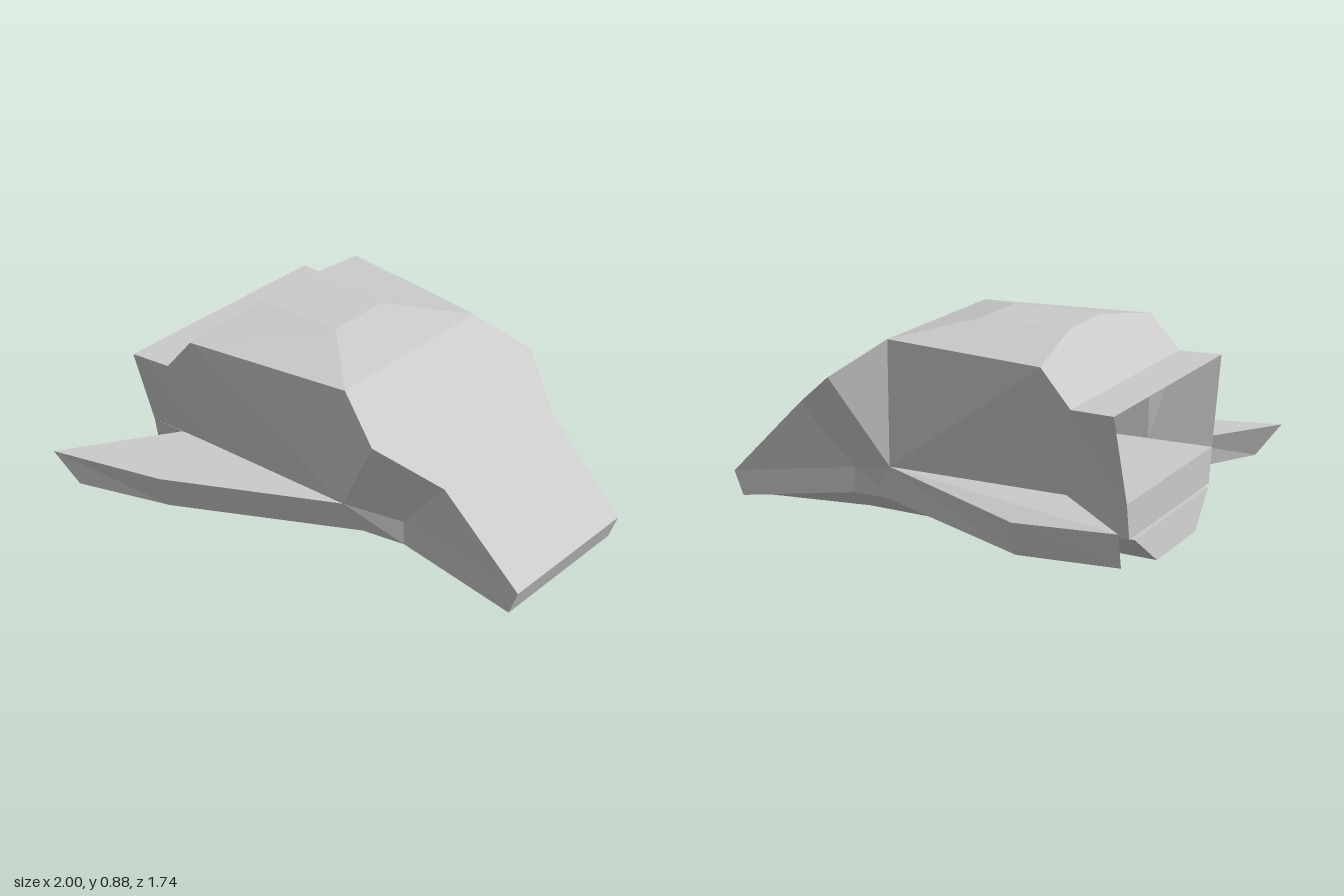
import * as THREE from 'three';

const hullGrey = new THREE.MeshStandardMaterial({ color: 0xcacaca, side: THREE.DoubleSide, flatShading: true });
hullGrey.name = 'hullGrey';

// Flat-shaded mesh from convex polygons, corners counter-clockwise from outside
function panels(name, polygons) {
  const pos = [];
  const add = ([x, y, z]) => pos.push(x, y, z);
  for (const p of polygons)
    for (let i = 1; i < p.length - 1; i++) [p[0], p[i], p[i + 1]].forEach(add);
  const g = new THREE.BufferGeometry();
  g.setAttribute('position', new THREE.Float32BufferAttribute(pos, 3));
  g.computeVertexNormals();
  const mesh = new THREE.Mesh(g, hullGrey);
  mesh.name = name;
  return mesh;
}

// Hull corners are [x, y, near z, far z]: the hull is slightly lopsided
const mirror = ([x, y, near, far]) => [x, y, far, near];

// Near-side polygons plus their far-side partners
const bothSides = (polys) => [...polys, ...polys.map((p) => p.map(mirror).reverse())];

// Strip across the hull between two edge points, front point first
const across = (a, b) => [a, mirror(a), mirror(b), b];

// Closed slab between a top outline and a bottom outline of equal length
function slab(name, top, bottom) {
  const sides = top.map((t, i) => {
    const j = (i + 1) % top.length;
    return [t, bottom[i], bottom[j], top[j]];
  });
  return panels(name, [top, [...bottom].reverse(), ...sides]);
}

export function createModel() {
  const model = new THREE.Group();
  const hull = new THREE.Group();
  hull.name = 'hull';
  model.add(hull);

  const rim = [-0.845, 0.67, 0.522, -0.577], deck = [-0.66, 0.67, 0.507, -0.563];
  const roofRear = [-0.53, 0.82, 0.502, -0.56], roofFront = [0.215, 0.82, 0.415, -0.43];
  const crownRear = [-0.47, 0.885, 0.13, -0.17], crownFront = [-0.07, 0.885, 0.13, -0.17];
  const brow = [0.415, 0.67, 0.495, -0.565], bridge = [0.65, 0.5, 0.337, -0.408];
  const tip = [1, 0.15, 0.317, -0.393], chin = [0.96, 0.045, 0.317, -0.39];
  const sillRear = [-0.86, 0.3, 0.405, -0.475], sillMid = [-0.57, 0.3, 0.405, -0.475];
  const sillFront = [0.2, 0.295, 0.415, -0.45], cheek = [0.42, 0.24, 0.3, -0.365];
  const baseRear = [-0.86, 0.148, 0.38, -0.445], baseFront = [0.2, 0.145, 0.345, -0.41];
  const baseCheek = [0.42, 0.13, 0.295, -0.365];

  // Roof, rear deck and sloping bonnet
  hull.add(panels('roof', [
    across(crownFront, crownRear), across(roofFront, crownFront), across(crownRear, roofRear),
    ...bothSides([[roofRear, roofFront, crownFront, crownRear]]),
  ]));
  hull.add(panels('rearDeck', [across(roofRear, deck), across(deck, rim)]));
  hull.add(panels('bonnet', [
    across(brow, roofFront), across(bridge, brow), across(tip, bridge), across(chin, tip),
  ]));

  // Faceted flanks
  hull.add(panels('flanks', bothSides([
    [rim, sillRear, sillMid, deck],
    [deck, sillMid, roofRear],
    [roofRear, sillMid, sillFront],
    [roofRear, sillFront, roofFront],
    [roofFront, sillFront, brow],
    [brow, sillFront, cheek],
    [brow, cheek, bridge],
    [bridge, cheek, tip],
  ])));

  // Base slab; the shell above it is open at the stern
  hull.add(panels('skirt', [
    across(sillRear, baseRear),
    ...bothSides([
      [sillRear, baseRear, baseFront, sillFront],
      [sillFront, baseFront, baseCheek, cheek],
      [cheek, baseCheek, chin, tip],
    ]),
  ]));
  hull.add(panels('innerFloor', [across(sillFront, sillRear)]));
  hull.add(panels('underside', [
    across(baseRear, baseFront), across(baseFront, baseCheek), across(baseCheek, chin),
  ]));

  // Keel under the base slab
  const t0 = [-0.87, 0.14, 0.35, -0.415], b0 = [-0.89, 0.005, 0.165, -0.235];
  const t1 = [0.42, 0.132, 0.295, -0.365], b1 = [0.42, 0.035, 0.165, -0.235];
  const t2 = [0.88, 0.06, 0.3, -0.375], b2 = [0.68, 0.085, 0.23, -0.3];
  hull.add(panels('keel', [
    across(t1, t0), across(b0, b1), across(b1, b2), across(b2, t2), across(t0, b0),
    ...bothSides([[t0, b0, b1, t1], [t1, b1, b2, t2]]),
  ]));

  // Swept wings, slightly uneven
  model.add(slab('nearWing',
    [[-0.69, 0.3, 0.4], [-1, 0.3, 0.867], [-0.5, 0.3, 0.75], [0.2, 0.295, 0.415]],
    [[-0.62, 0.155, 0.33], [-0.9, 0.16, 0.825], [-0.5, 0.15, 0.7], [0.3, 0.15, 0.32]]));
  model.add(slab('farWing',
    [[0.2, 0.295, -0.45], [-0.54, 0.28, -0.82], [-1, 0.32, -0.87], [-0.6, 0.3, -0.47]],
    [[0.3, 0.15, -0.39], [-0.54, 0.14, -0.78], [-1, 0.18, -0.84], [-0.55, 0.155, -0.4]]));

  return model;
}
